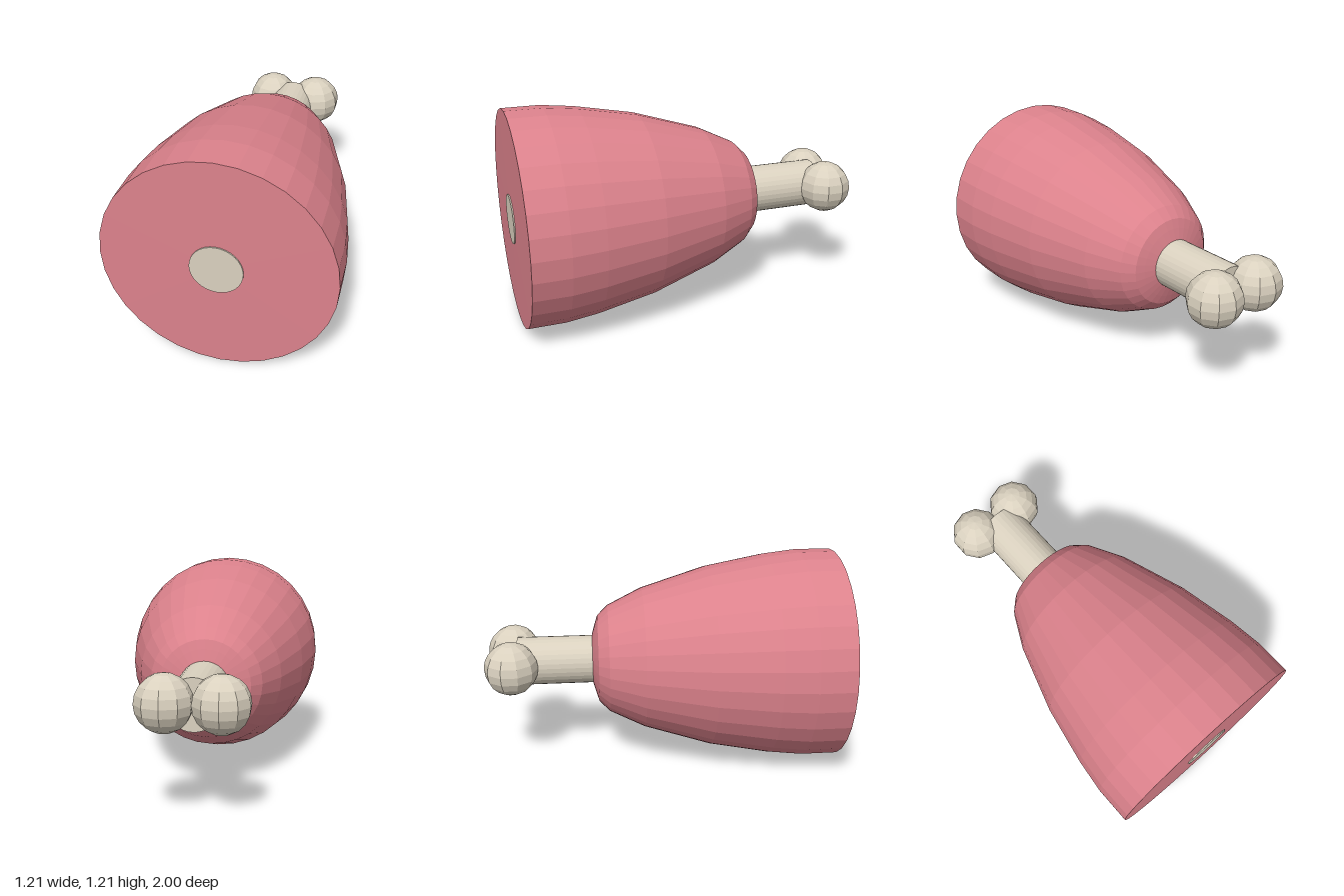
import * as THREE from 'three';

export function createModel() {
  const root = new THREE.Group();
  root.name = 'meatOnBone';
  const meatPink = new THREE.MeshStandardMaterial({ color: 0xdc828c, flatShading: true });
  meatPink.name = 'meatPink';
  const boneIvory = new THREE.MeshStandardMaterial({ color: 0xdad1bf, flatShading: true });
  boneIvory.name = 'boneIvory';
  const axisY = 0.603;

  const add = (name, geometry, material, x, y, z) => {
    const mesh = new THREE.Mesh(geometry, material);
    mesh.name = name;
    mesh.position.set(x, y, z);
    root.add(mesh);
    return mesh;
  };

  // Meat: closed profile of [radius, z], turned around the z axis
  const profile = [
    [0, -0.395], [0.14, -0.395], [0.2, -0.378], [0.25, -0.362], [0.308, -0.303],
    [0.404, -0.107], [0.52, 0.268], [0.582, 0.6], [0.603, 0.785], [0.603, 0.99], [0, 0.994],
  ].map(([r, z]) => new THREE.Vector2(r, z));
  add('meat', new THREE.LatheGeometry(profile, 32).rotateX(Math.PI / 2), meatPink, 0, axisY, 0);

  // Bone shaft running through the meat, its cut end just proud of the front
  const back = -0.82, front = 1;
  const shaft = new THREE.CylinderGeometry(0.137, 0.137, front - back, 32).rotateX(Math.PI / 2);
  add('boneShaft', shaft, boneIvory, 0, axisY, (front + back) / 2);

  // Two knobs at the end of the bone
  for (const [name, x] of [['leftKnob', 0.139], ['rightKnob', -0.144]]) {
    const knob = new THREE.SphereGeometry(0.15, 10, 10).rotateY(Math.PI / 10);
    add(name, knob, boneIvory, x, 0.617, -0.85);
  }
  return root;
}
